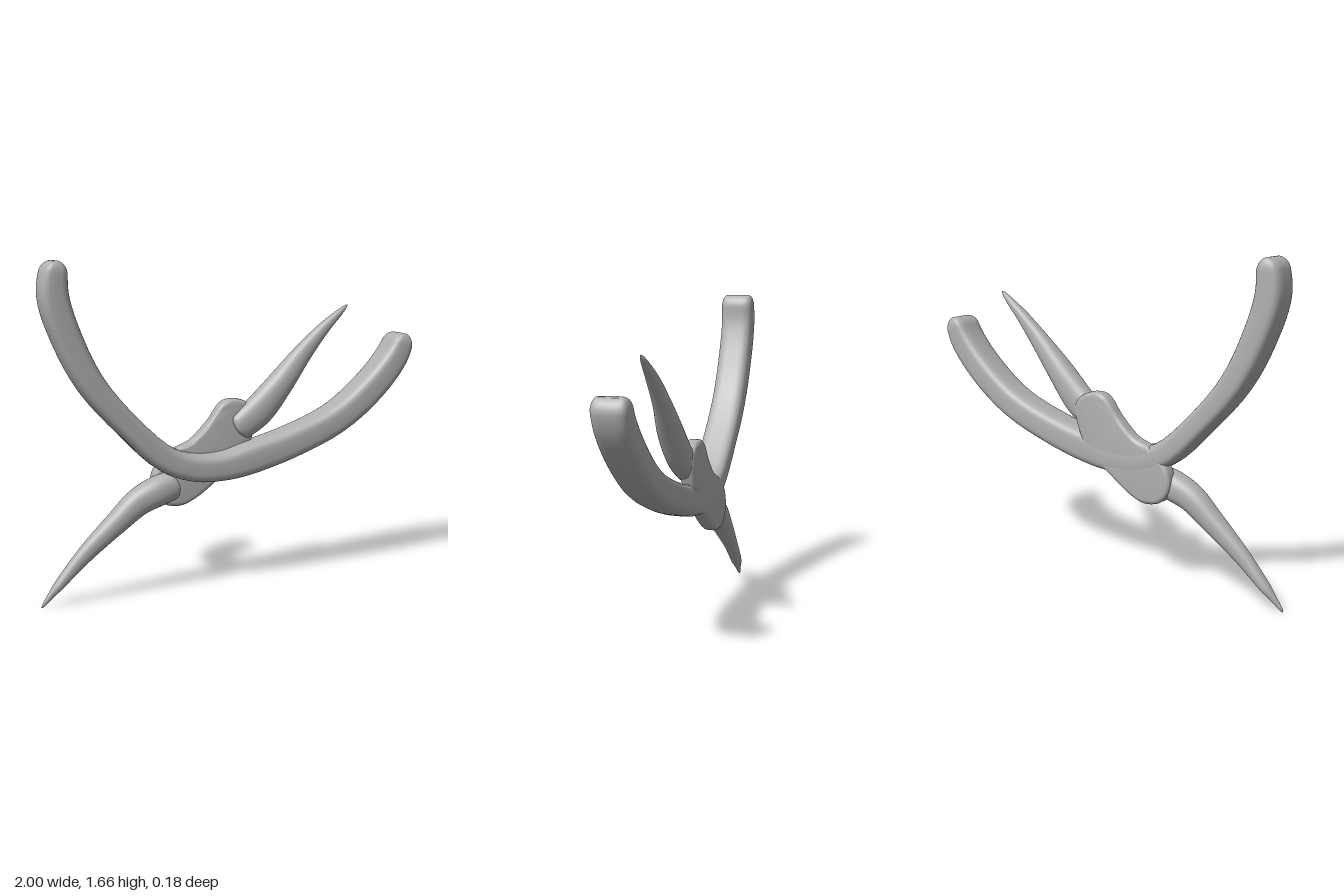
import * as THREE from 'three';
import { toCreasedNormals } from 'three/addons/utils/BufferGeometryUtils.js';

const steel = new THREE.MeshStandardMaterial({ color: 0xb0b0b0 });
steel.name = 'grey steel';

// Sweep a rounded section along stations [x, y, z, half width, half depth].
// power > 2 squares the section off; round is the length of the rounded ends.
function sweep(name, stations, power, round, soften) {
  const path = new THREE.CatmullRomCurve3(stations.map(s => new THREE.Vector3(s[0], s[1], s[2])));
  const size = new THREE.CatmullRomCurve3(stations.map(s => new THREE.Vector3(s[3], s[4], 0)), false, 'catmullrom');
  const N = 72, M = 32, pos = [], idx = [];
  const pts = [], dist = [0];
  for (let i = 0; i <= N; i++) {
    const t = 0.5 - 0.5 * Math.cos(Math.PI * i / N);
    pts.push({ p: path.getPoint(t), d: path.getTangent(t), s: size.getPoint(t) });
    if (i) dist.push(dist[i - 1] + pts[i].p.distanceTo(pts[i - 1].p));
  }
  const se = v => Math.sign(v) * Math.pow(Math.abs(v), 2 / power);
  pts.forEach(({ p, d, s }, i) => {
    const end = Math.min(dist[i], dist[N] - dist[i], round);
    const f = Math.sqrt(Math.max(0.0004, 1 - (1 - end / round) ** 2));
    const w = Math.max(s.x, 0.003) * f;
    const h = Math.max(s.y - soften * (1 - f), 0.002);
    const l = Math.hypot(d.x, d.y);
    for (let j = 0; j < M; j++) {
      const a = j / M * Math.PI * 2, u = se(Math.cos(a)) * w, v = se(Math.sin(a)) * h;
      pos.push(p.x - d.y / l * u, p.y + d.x / l * u, p.z + v);
      if (i < N) {
        const k = (j + 1) % M, b = i * M;
        idx.push(b + j, b + k, b + M + j, b + k, b + M + k, b + M + j);
      }
    }
  });
  const g = new THREE.BufferGeometry();
  g.setAttribute('position', new THREE.Float32BufferAttribute(pos, 3));
  g.setIndex(idx);
  g.computeVertexNormals();
  const mesh = new THREE.Mesh(g, steel);
  mesh.name = name;
  return mesh;
}

export function createModel() {
  const group = new THREE.Group();
  group.name = 'pliers';

  // Both curved grips, meeting in a bend at the pivot
  group.add(sweep('handles', [
    [-0.89, 1.665, 0, 0.055, 0.088], [-0.9, 1.5, 0, 0.068, 0.088], [-0.84, 1.3, 0, 0.068, 0.088],
    [-0.73, 1.08, 0, 0.064, 0.088], [-0.55, 0.865, 0, 0.06, 0.088], [-0.36, 0.69, 0, 0.065, 0.088],
    [-0.21, 0.635, 0, 0.068, 0.088], [-0.05, 0.633, 0, 0.072, 0.088], [0.08, 0.66, 0, 0.08, 0.088],
    [0.3, 0.72, 0, 0.078, 0.088], [0.57, 0.83, 0, 0.075, 0.088], [0.77, 0.98, 0, 0.075, 0.088],
    [0.91, 1.14, 0, 0.07, 0.088], [0.965, 1.262, 0, 0.055, 0.088],
  ], 3.6, 0.06, 0.03));

  // Tapering jaws on either side of the pivot
  group.add(sweep('upperJaw', [
    [0.03, 0.8, -0.03, 0.07, 0.05], [0.15, 0.895, -0.02, 0.08, 0.06], [0.275, 1.035, -0.015, 0.066, 0.06],
    [0.4, 1.18, -0.02, 0.048, 0.042], [0.52, 1.305, -0.02, 0.03, 0.03],
    [0.6, 1.375, -0.018, 0.018, 0.018], [0.65, 1.42, -0.015, 0.007, 0.007],
  ], 2.3, 0.03, 0.01));
  group.add(sweep('lowerJaw', [
    [-0.3, 0.56, 0, 0.07, 0.06], [-0.4, 0.53, 0, 0.075, 0.07], [-0.5, 0.485, 0, 0.068, 0.064],
    [-0.61, 0.395, 0, 0.056, 0.055], [-0.78, 0.245, 0, 0.04, 0.038], [-0.91, 0.11, 0.002, 0.024, 0.03],
    [-0.96, 0.055, 0.005, 0.014, 0.014], [-1, 0.008, 0.008, 0.007, 0.006],
  ], 2.3, 0.03, 0.01));

  // Flat pivot plate, set back behind the front of the handles
  const outline = [
    [-0.02, 0.935], [0.07, 0.93], [0.12, 0.88], [0.1, 0.77], [0.04, 0.66], [-0.08, 0.57],
    [-0.2, 0.485], [-0.28, 0.455], [-0.36, 0.475], [-0.4, 0.54], [-0.385, 0.62],
    [-0.3, 0.7], [-0.2, 0.745], [-0.1, 0.84],
  ].map(p => new THREE.Vector2(...p));
  const edge = new THREE.CatmullRomCurve3(outline.map(p => new THREE.Vector3(p.x, p.y, 0)), true)
    .getPoints(70).slice(0, -1).map(p => new THREE.Vector2(p.x, p.y));
  const plate = new THREE.ExtrudeGeometry(new THREE.Shape(edge), {
    depth: 0.035, bevelEnabled: true, bevelThickness: 0.02, bevelSize: 0.02, bevelSegments: 4,
  });
  plate.translate(0, 0, -0.066);
  const body = new THREE.Mesh(toCreasedNormals(plate, 0.8), steel);
  body.name = 'pivotPlate';
  group.add(body);

  return group;
}
